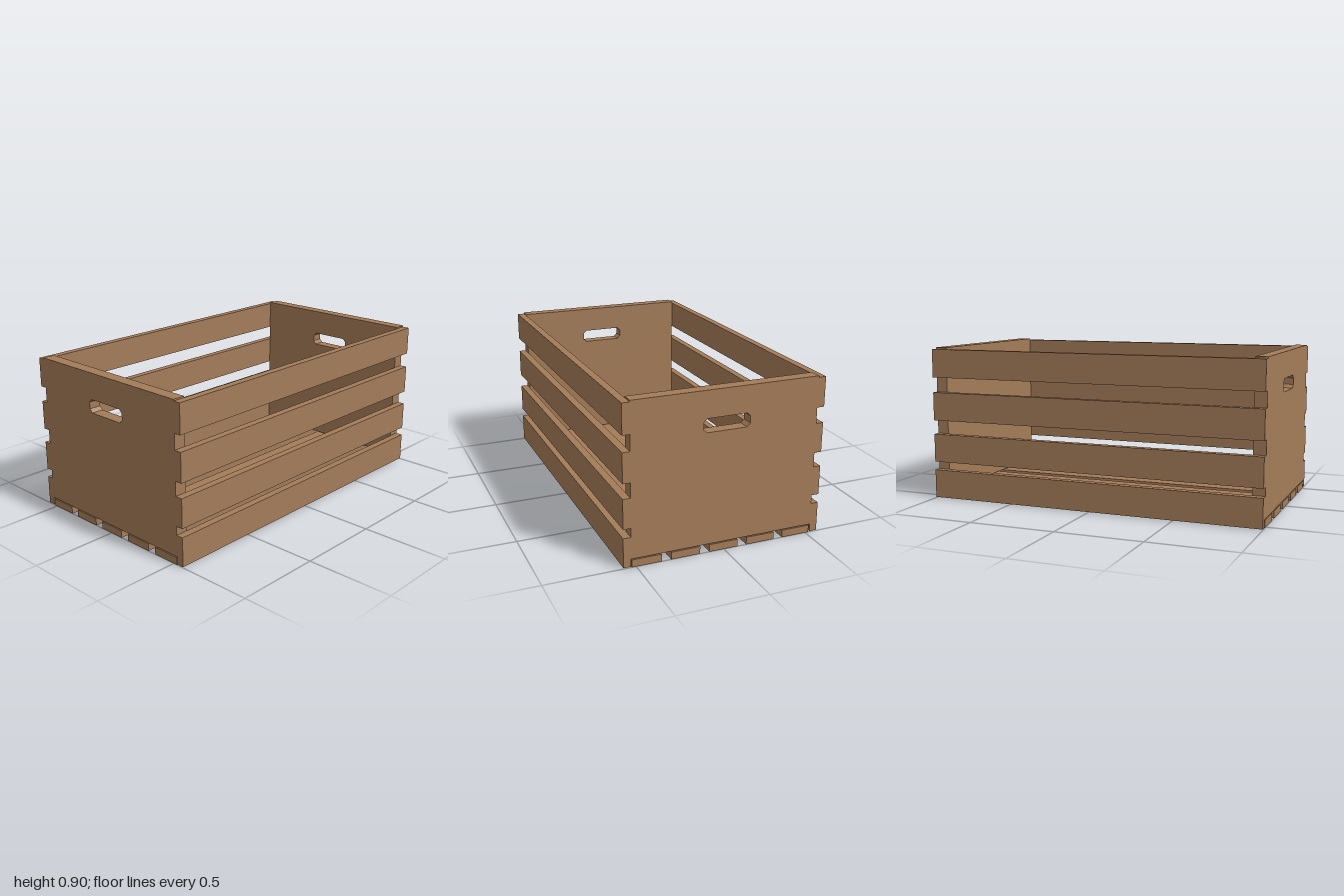
import * as THREE from 'three';

export function createModel() {
  const crate = new THREE.Group();
  crate.name = 'crate';
  const wood = new THREE.MeshStandardMaterial({ color: 0xa47c59 });
  wood.name = 'wood';

  const add = (name, geometry, x, y, z) => {
    const mesh = new THREE.Mesh(geometry, wood);
    mesh.name = name;
    mesh.position.set(x, y, z);
    crate.add(mesh);
    return mesh;
  };

  // End panels with a chamfered hand hole, drawn in the z-y plane
  const thick = 0.07;
  const panel = new THREE.Shape([
    [-0.528, 0.048], [0.528, 0.048], [0.528, 0.903], [-0.528, 0.903],
  ].map(([a, b]) => new THREE.Vector2(a, b)));
  const w = 0.132, low = 0.677, high = 0.753, c = 0.019;
  panel.holes.push(new THREE.Path([
    [-w, low + c], [-w, high - c], [-w + c, high], [w - c, high],
    [w, high - c], [w, low + c], [w - c, low], [-w + c, low],
  ].map(([a, b]) => new THREE.Vector2(a, b))));
  const panelGeometry = new THREE.ExtrudeGeometry(panel, { depth: thick, bevelEnabled: false });
  panelGeometry.translate(0, 0, -thick / 2);
  panelGeometry.rotateY(Math.PI / 2);
  add('leftEndPanel', panelGeometry, 1 - thick / 2, 0, 0);
  add('rightEndPanel', panelGeometry, -1 + thick / 2, 0, 0);

  // Four long slats on the front and on the back
  const sideSlat = new THREE.BoxGeometry(2, 0.167, 0.042);
  [0.088, 0.305, 0.555, 0.811].forEach((y, i) => {
    add(`frontSlat${i + 1}`, sideSlat, 0, y, 0.549);
    add(`backSlat${i + 1}`, sideSlat, 0, y, -0.549);
  });

  // Five floor slats running under the end panels
  const floorSlat = new THREE.BoxGeometry(2, 0.042, 0.166);
  for (let i = 0; i < 5; i++) {
    add(`floorSlat${i + 1}`, floorSlat, 0, 0.021, 0.002 + (i - 2) * 0.2195);
  }

  return crate;
}
